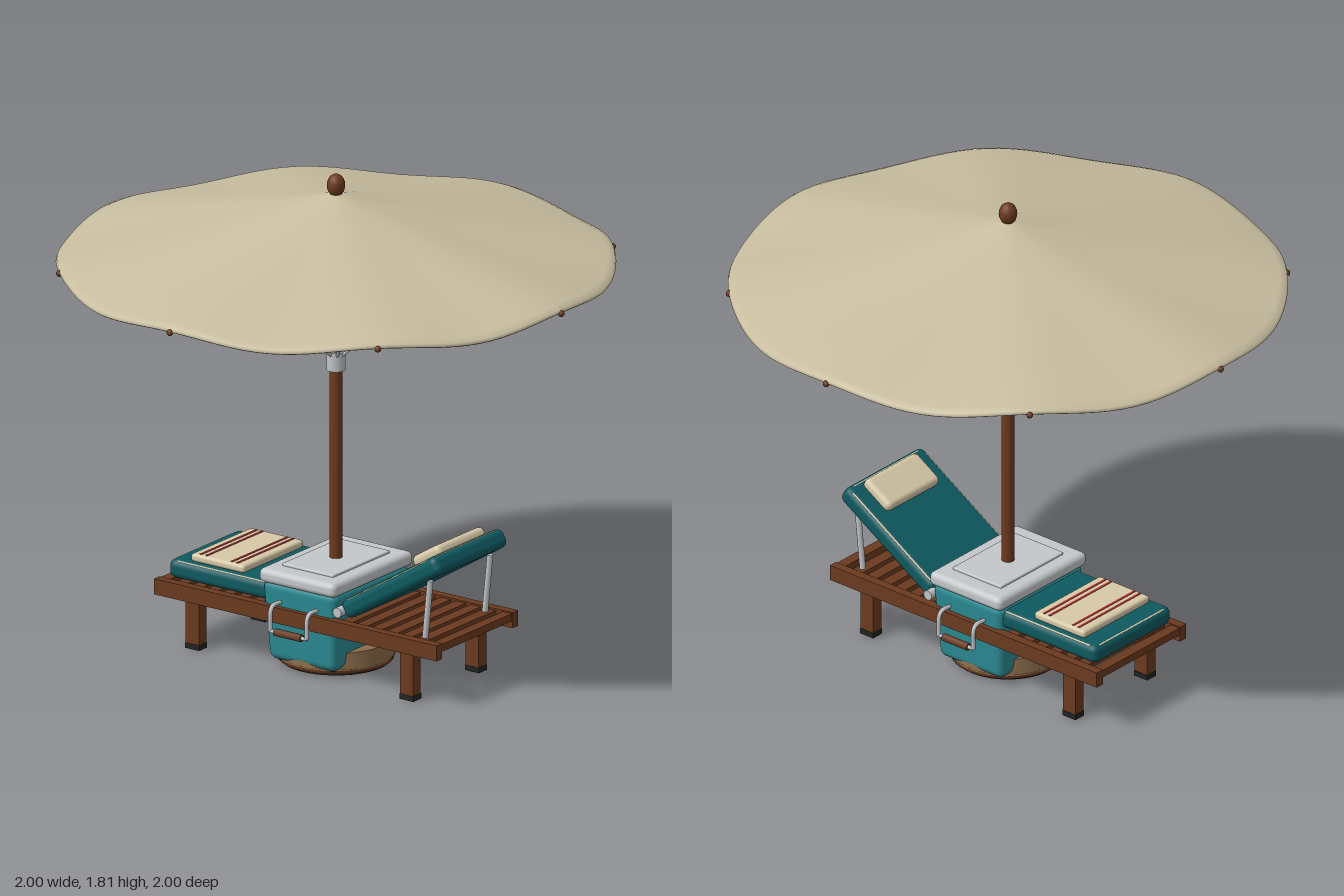
import * as THREE from 'three';
import { RoundedBoxGeometry } from 'three/addons/geometries/RoundedBoxGeometry.js';

const mat = (name, color) => {
  const m = new THREE.MeshStandardMaterial({ color });
  m.name = name;
  return m;
};
const V = (x, y, z) => new THREE.Vector3(x, y, z);

export function createModel() {
  const canvas = mat('canvas', 0xc8bd9f), beige = mat('beige fabric', 0xd6c9a8);
  const wood = mat('wood', 0x6b3a1f), silver = mat('silver', 0xc0c4c8);
  const teal = mat('teal plastic', 0x2b8c94), darkTeal = mat('dark teal fabric', 0x0e5a60);
  const lidGrey = mat('lid grey', 0xc4c7c9), red = mat('red stripe', 0xb03432);
  const black = mat('black rubber', 0x222324), stone = mat('base stone', 0x8a6c4a);

  const model = new THREE.Group();
  const group = (name, parent = model) => {
    const g = new THREE.Group();
    g.name = name;
    parent.add(g);
    return g;
  };
  const add = (parent, name, geo, material, x = 0, y = 0, z = 0) => {
    const m = new THREE.Mesh(geo, material);
    m.name = name;
    m.position.set(x, y, z);
    parent.add(m);
    return m;
  };
  const box = (p, name, m, w, h, d, x, y, z) => add(p, name, new THREE.BoxGeometry(w, h, d), m, x, y, z);
  const soft = (p, name, m, w, h, d, r, x, y, z) => add(p, name, new RoundedBoxGeometry(w, h, d, 4, r), m, x, y, z);
  const cyl = (p, name, m, r0, r1, y0, y1, n = 24) =>
    add(p, name, new THREE.CylinderGeometry(r1, r0, y1 - y0, n), m, 0, (y0 + y1) / 2, 0);
  const rod = (p, name, m, a, b, r) => {
    const o = add(p, name, new THREE.CylinderGeometry(r, r, a.distanceTo(b), 10), m);
    o.position.copy(a).add(b).multiplyScalar(0.5);
    o.quaternion.setFromUnitVectors(V(0, 1, 0), b.clone().sub(a).normalize());
    return o;
  };

  // Parasol canopy: lathe with eight scallops that grow towards the rim
  const parasol = group('parasol');
  const top = [[0.99, 1.492], [0.986, 1.503], [0.96, 1.514], [0.8, 1.548], [0.6, 1.59], [0.4, 1.635], [0.2, 1.684], [0.07, 1.722], [0.03, 1.735], [0, 1.737]];
  const under = [[0, 1.724], [0.07, 1.712], [0.2, 1.676], [0.4, 1.627], [0.6, 1.582], [0.8, 1.54], [0.95, 1.506], [0.975, 1.494], [0.985, 1.488]];
  const canopyGeo = new THREE.LatheGeometry([...under, ...top].map(([r, y]) => new THREE.Vector2(r, y)), 128);
  const pos = canopyGeo.attributes.position;
  for (let i = 0; i < pos.count; i++) {
    const x = pos.getX(i), z = pos.getZ(i), r = Math.hypot(x, z);
    const dip = (1 - Math.cos(8 * Math.atan2(x, z))) / 2;
    pos.setY(i, pos.getY(i) - 0.026 * dip * r * r);
  }
  canopyGeo.computeVertexNormals();
  add(parasol, 'canopy', canopyGeo, canvas);

  // Pole, finial, sliding hub, ribs and struts
  cyl(parasol, 'pole', wood, 0.023, 0.023, 0.05, 1.73);
  cyl(parasol, 'finialNeck', wood, 0.02, 0.02, 1.72, 1.75, 16);
  add(parasol, 'finial', new THREE.SphereGeometry(0.033, 16, 10), wood, 0, 1.768, 0).scale.y = 1.25;
  cyl(parasol, 'hub', silver, 0.034, 0.034, 1.08, 1.15);
  for (let i = 0; i < 8; i++) {
    const a = i * Math.PI / 4, at = (r, y) => V(r * Math.sin(a), y, r * Math.cos(a));
    const path = new THREE.CatmullRomCurve3([at(0.03, 1.715), at(0.2, 1.672), at(0.6, 1.578), at(0.985, 1.488)]);
    add(parasol, 'rib', new THREE.TubeGeometry(path, 16, 0.005, 6), black);
    rod(parasol, 'strut', silver, at(0.03, 1.14), at(0.53, 1.592), 0.006);
    const tip = at(0.988, 1.488);
    add(parasol, 'ribTip', new THREE.SphereGeometry(0.012, 12, 8), wood, tip.x, tip.y, tip.z);
  }

  // Round parasol base
  cyl(parasol, 'base', stone, 0.21, 0.205, 0.025, 0.09, 48);
  cyl(parasol, 'baseRim', wood, 0.205, 0.21, 0.012, 0.03, 48);
  cyl(parasol, 'basePad', black, 0.195, 0.195, 0.004, 0.012, 48);

  // Lounger frame
  const lounger = group('lounger');
  for (const s of [-1, 1]) {
    box(lounger, 'sideRail', wood, 0.034, 0.058, 1.24, s * 0.226, 0.211, 0);
    box(lounger, 'endRail', wood, 0.42, 0.028, 0.04, 0, 0.222, s * 0.598);
    for (const z of [-0.47, 0.47]) {
      box(lounger, 'leg', wood, 0.045, 0.2, 0.058, s * 0.195, 0.12, z);
      box(lounger, 'foot', black, 0.048, 0.02, 0.061, s * 0.195, 0.01, z);
    }
    for (let i = 0; i < 6; i++) box(lounger, 'slat', wood, 0.42, 0.02, 0.045, 0, 0.224, s * (0.195 + i * 0.066));
  }

  // Cushion with piping around its upper face
  const cushion = (parent, name, w, h, d) => {
    const g = group(name, parent);
    soft(g, name + 'Pad', darkTeal, w, h, d, 0.026, 0, 0, 0);
    const x = w / 2 - 0.014, z = d / 2 - 0.014, y = h / 2 - 0.006;
    for (const s of [-1, 1]) {
      rod(g, 'piping', beige, V(s * x, y, -z + 0.02), V(s * x, y, z - 0.02), 0.004);
      rod(g, 'piping', beige, V(-x + 0.02, y, s * z), V(x - 0.02, y, s * z), 0.004);
    }
    return g;
  };
  cushion(lounger, 'seatCushion', 0.42, 0.07, 0.46).position.set(0, 0.277, -0.355);

  // Folded towel with stripes
  soft(lounger, 'towel', beige, 0.36, 0.03, 0.235, 0.012, 0, 0.325, -0.39);
  for (const z of [-0.47, -0.445, -0.335, -0.31]) box(lounger, 'towelStripe', red, 0.335, 0.003, 0.009, 0, 0.3405, z);

  // Tilted backrest with pillow
  const back = group('backrest', lounger);
  back.position.set(0, 0.397, 0.388);
  back.rotation.x = -0.555;
  cushion(back, 'backCushion', 0.42, 0.07, 0.49);
  soft(back, 'pillow', beige, 0.28, 0.045, 0.14, 0.02, 0, 0.045, 0.155);
  for (const s of [-1, 1]) {
    rod(lounger, 'backSupport', silver, V(s * 0.178, 0.235, 0.523), V(s * 0.178, 0.45, 0.545), 0.011);
    rod(lounger, 'backPivot', silver, V(s * 0.19, 0.27, 0.175), V(s * 0.232, 0.27, 0.175), 0.019);
  }

  // Cooler body, narrowing downwards
  const cooler = group('cooler');
  const bodyGeo = new RoundedBoxGeometry(0.46, 0.3, 0.325, 4, 0.03);
  const bp = bodyGeo.attributes.position;
  for (let i = 0; i < bp.count; i++) {
    const k = 0.95 + 0.05 * (bp.getY(i) / 0.15);
    bp.setX(i, bp.getX(i) * k);
    bp.setZ(i, bp.getZ(i) * k);
  }
  bodyGeo.computeVertexNormals();
  add(cooler, 'coolerBody', bodyGeo, teal, 0, 0.178, 0);
  box(cooler, 'coolerBottom', black, 0.36, 0.006, 0.24, 0, 0.027, 0);
  soft(cooler, 'lid', lidGrey, 0.48, 0.054, 0.335, 0.022, 0, 0.345, 0);
  soft(cooler, 'lidPanel', lidGrey, 0.34, 0.016, 0.225, 0.005, 0, 0.373, 0);

  // Carrying handles: two bent arms and a grip on each side
  for (const s of [-1, 1]) {
    const handle = group('handle', cooler);
    for (const z of [-0.08, 0.08]) {
      const arm = new THREE.CatmullRomCurve3([V(s * 0.215, 0.256, z), V(s * 0.265, 0.256, z), V(s * 0.28, 0.24, z), V(s * 0.282, 0.165, z)], false, 'centripetal');
      add(handle, 'handleArm', new THREE.TubeGeometry(arm, 20, 0.008, 8), silver);
    }
    rod(handle, 'handleBar', silver, V(s * 0.282, 0.165, -0.08), V(s * 0.282, 0.165, 0.08), 0.007);
    rod(handle, 'handleGrip', wood, V(s * 0.282, 0.165, -0.058), V(s * 0.282, 0.165, 0.058), 0.014);
  }
  return model;
}
